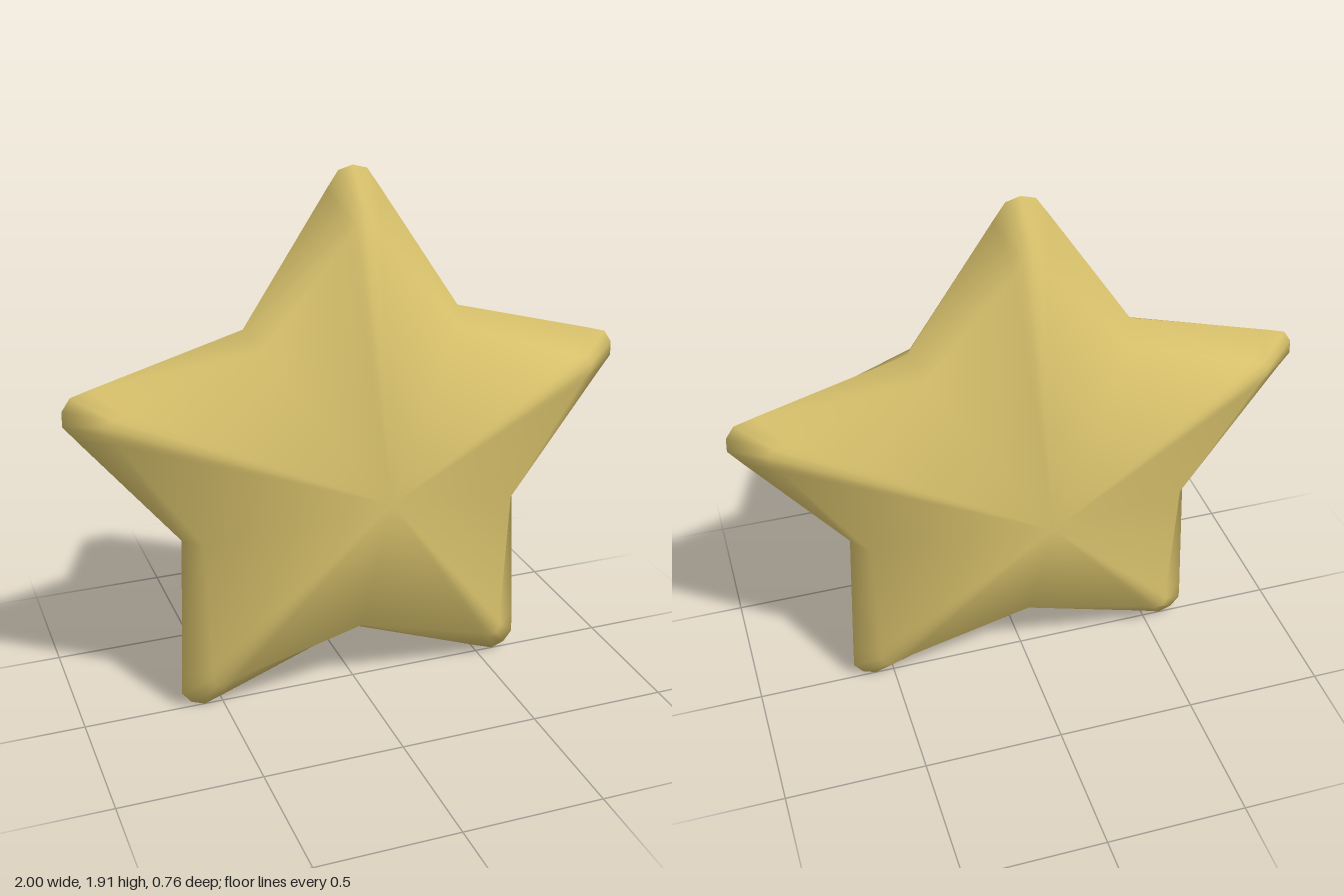
import * as THREE from 'three';

const CENTRE_Y = 0.865, DEPTH = 0.38, ARMS = 5;

// Points as [sideways, outward] along an arm, counter-clockwise
const outerTip = [[-0.09, 0.975], [-0.05, 1.033], [0, 1.047], [0.05, 1.033], [0.09, 0.975]];
const innerTip = [[-0.052, 0.87], [-0.03, 0.908], [0, 0.925], [0.03, 0.908], [0.052, 0.87]];

// One closed star loop: rounded tips joined by a single notch point
function starLoop(tip, notchRadius, tipZ, notchZ, topShift = 0, topZ = tipZ) {
  const loop = [];
  for (let k = 0; k < ARMS; k++) {
    const a = Math.PI / 2 + k * Math.PI * 2 / ARMS;
    const c = Math.cos(a), s = Math.sin(a);
    for (const [w, r0] of tip) {
      const r = r0 + (k === 0 ? topShift : 0);
      loop.push([c * r - s * w, CENTRE_Y + s * r + c * w, k === 0 ? topZ : tipZ]);
    }
    const n = a + Math.PI / ARMS;
    loop.push([Math.cos(n) * notchRadius, CENTRE_Y + Math.sin(n) * notchRadius, notchZ]);
  }
  return loop;
}

function starGeometry() {
  const rim = starLoop(outerTip, 0.655, 0, 0);
  const front = starLoop(innerTip, 0.6, 0.086, 0.1, -0.03, 0.118);
  const back = front.map(([x, y, z]) => [x, y, -z]);
  const n = rim.length;
  const points = [...front, ...rim, ...back, [0, CENTRE_Y, DEPTH], [0, CENTRE_Y, -DEPTH]];
  const index = [];
  for (let i = 0; i < n; i++) {
    const j = (i + 1) % n;
    index.push(3 * n, i, j, 3 * n + 1, 2 * n + j, 2 * n + i); // faces rising to the centre
    for (const o of [0, n]) { // bevels on either side of the rim
      index.push(o + i, o + n + i, o + n + j, o + i, o + n + j, o + j);
    }
  }
  const geo = new THREE.BufferGeometry();
  geo.setAttribute('position', new THREE.Float32BufferAttribute(points.flat(), 3));
  geo.setIndex(index);
  geo.computeVertexNormals();
  return geo;
}

export function createModel() {
  const group = new THREE.Group();
  group.name = 'star';
  const gold = new THREE.MeshStandardMaterial({ color: 0xdcc56e });
  gold.name = 'gold';
  const body = new THREE.Mesh(starGeometry(), gold);
  body.name = 'starBody';
  group.add(body);
  return group;
}
